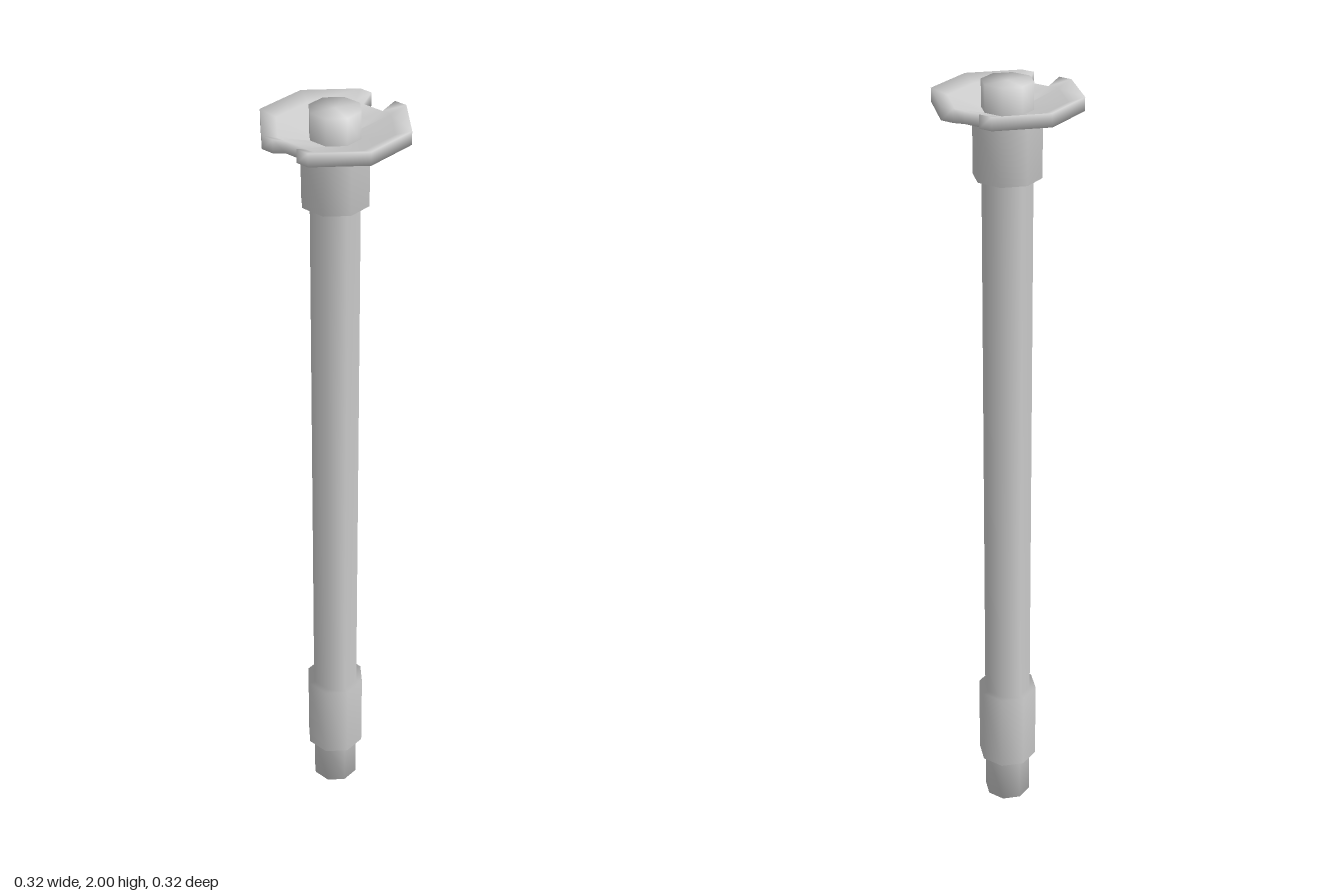
import * as THREE from 'three';

const SIDES = 8;
const CORNER = 1 / Math.cos(Math.PI / SIDES); // flat distance -> corner radius

// Eight-sided smooth lathe; profile is [flat distance, height], bottom to top
function octagonLathe(profile, material, name) {
  const points = profile.map(([a, y]) => new THREE.Vector2(a * CORNER, y));
  const mesh = new THREE.Mesh(new THREE.LatheGeometry(points, SIDES, Math.PI / SIDES), material);
  mesh.name = name;
  return mesh;
}

// Dished octagonal flange with a notch on each x side
function flangeGeometry() {
  // [flat distance, height, half width of the notch]
  const rings = [
    [0.08, 1.916, 0.025],
    [0.127, 1.929, 0.028],
    [0.162, 1.94, 0.034],
    [0.162, 1.972, 0.034],
    [0.127, 1.958, 0.028],
    [0.056, 1.936, 0.02],
  ];
  const n = rings.length;
  const positions = [];
  const index = [];
  const gaps = [];
  let stations = 0;
  const addStation = (place) => {
    for (const [a, y, w] of rings) {
      const [x, z] = place(a, w);
      positions.push(x, y, z);
    }
    stations++;
  };
  for (let k = 0; k < SIDES; k++) {
    const phi = ((k + 0.5) * 2 * Math.PI) / SIDES;
    addStation((a) => [a * CORNER * Math.sin(phi), a * CORNER * Math.cos(phi)]);
    if (k === 1 || k === 5) {
      const s = k === 1 ? 1 : -1;
      gaps.push(stations);
      addStation((a, w) => [s * a, s * w]);
      addStation((a, w) => [s * a, -s * w]);
    }
  }
  const quad = (a, b, c, d) => index.push(a, b, c, a, c, d);
  for (let i = 0; i < stations; i++) {
    const p = i * n;
    const q = ((i + 1) % stations) * n;
    const notch = gaps.includes(i);
    const path = notch ? [0, 1, 4, 5] : [0, 1, 2, 3, 4, 5];
    for (let j = 0; j < path.length - 1; j++) {
      quad(p + path[j], q + path[j], q + path[j + 1], p + path[j + 1]);
    }
    if (notch) { // cheeks of the notch
      quad(p + 1, p + 4, p + 3, p + 2);
      quad(q + 1, q + 2, q + 3, q + 4);
    }
  }
  const geometry = new THREE.BufferGeometry();
  geometry.setAttribute('position', new THREE.Float32BufferAttribute(positions, 3));
  geometry.setIndex(index);
  geometry.computeVertexNormals();
  return geometry;
}

export function createModel() {
  const group = new THREE.Group();
  group.name = 'post';
  const grey = new THREE.MeshStandardMaterial({ color: 0xcccccc });
  grey.name = 'light grey';

  // Foot, lower collar, long shaft and upper hub in one smooth profile
  group.add(octagonLathe([
    [0, 0], [0.056, 0],
    [0.056, 0.127], [0.071, 0.127],
    [0.071, 0.345], [0.056, 0.345],
    [0.056, 1.777], [0.075, 1.777],
    [0.075, 1.913], [0.08, 1.916],
  ], grey, 'shaft'));

  const flange = new THREE.Mesh(flangeGeometry(), grey);
  flange.name = 'notchedFlange';
  group.add(flange);

  // Peg rising out of the flange
  group.add(octagonLathe([[0.056, 1.93], [0.056, 2], [0, 2]], grey, 'topPeg'));
  return group;
}
